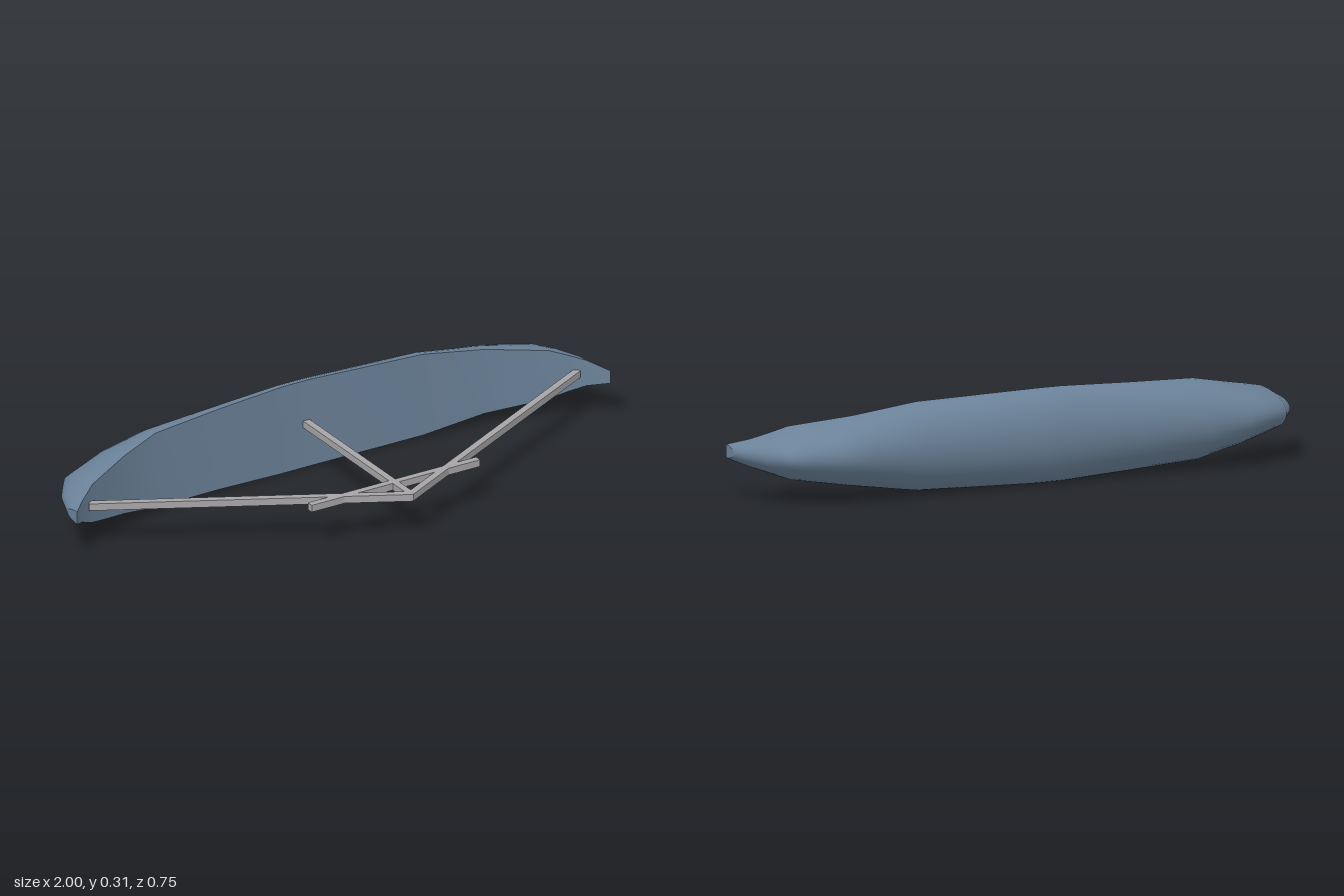
import * as THREE from 'three';

const MID_Y = 0.156;
const ROD = 0.024;

// Stations along the span: x, half height, front z, back z
const STATIONS = [
  [-1, 0.022, -0.07, -0.13],
  [-0.96, 0.038, -0.103, -0.23],
  [-0.9, 0.068, -0.137, -0.315],
  [-0.82, 0.086, -0.168, -0.345],
  [-0.74, 0.103, -0.2, -0.374],
  [-0.6, 0.132, -0.237, -0.374],
  [-0.35, 0.143, -0.26, -0.374],
  [-0.1, 0.154, -0.272, -0.374],
  [0, 0.154, -0.273, -0.374],
  [0.42, 0.144, -0.255, -0.374],
  [0.64, 0.114, -0.234, -0.374],
  [0.74, 0.1, -0.2, -0.374],
  [0.84, 0.086, -0.167, -0.337],
  [0.9, 0.064, -0.142, -0.315],
  [0.95, 0.045, -0.113, -0.235],
  [1, 0.022, -0.047, -0.1],
];

// Half-elliptical section, from the top edge round the back to the bottom edge
function section([x, h, front, back], steps = 20) {
  return Array.from({ length: steps + 1 }, (_, j) => {
    const t = (j / steps) * Math.PI;
    return [x, MID_Y + h * Math.cos(t), front + (back - front) * Math.sin(t)];
  });
}

// Skin stretched over rows of points
function skin(rows) {
  const n = rows[0].length;
  const index = [];
  for (let i = 0; i < rows.length - 1; i++) {
    for (let j = 0; j < n - 1; j++) {
      const a = i * n + j;
      const b = a + n;
      index.push(a, b, a + 1, b, b + 1, a + 1);
    }
  }
  return geometry(rows.flat(), index);
}

// Flat fan closing a wing tip
function cap(points, flip) {
  const index = [];
  for (let j = 1; j < points.length - 1; j++) {
    index.push(0, flip ? j + 1 : j, flip ? j : j + 1);
  }
  return geometry(points, index);
}

function geometry(points, index) {
  const g = new THREE.BufferGeometry();
  g.setAttribute('position', new THREE.Float32BufferAttribute(points.flat(), 3));
  g.setIndex(index);
  g.computeVertexNormals();
  return g;
}

export function createModel() {
  const canopyBlue = new THREE.MeshStandardMaterial({ color: 0x6b8299 });
  canopyBlue.name = 'canopy slate blue';
  const rodGrey = new THREE.MeshStandardMaterial({ color: 0xa6a4a6 });
  rodGrey.name = 'rod grey';

  const model = new THREE.Group();
  const add = (parent, name, geo, mat) => {
    const mesh = new THREE.Mesh(geo, mat);
    mesh.name = name;
    parent.add(mesh);
    return mesh;
  };

  // Canopy: rounded back, straight front face and two closed tips
  const canopy = new THREE.Group();
  canopy.name = 'canopy';
  model.add(canopy);
  const rows = STATIONS.map((s) => section(s));
  add(canopy, 'canopyBack', skin(rows), canopyBlue);
  add(canopy, 'canopyFront', skin(rows.map((r) => [r[r.length - 1], r[0]])), canopyBlue);
  add(canopy, 'rightTip', cap(rows[0], false), canopyBlue);
  add(canopy, 'leftTip', cap(rows[rows.length - 1], true), canopyBlue);

  // Square rods lying in one level plane
  const frame = new THREE.Group();
  frame.name = 'frame';
  model.add(frame);
  const rod = (name, x1, z1, x2, z2) => {
    const length = Math.hypot(x2 - x1, z2 - z1);
    const mesh = add(frame, name, new THREE.BoxGeometry(length, ROD, ROD), rodGrey);
    mesh.position.set((x1 + x2) / 2, MID_Y, (z1 + z2) / 2);
    mesh.rotation.y = -Math.atan2(z2 - z1, x2 - x1);
  };
  rod('rightStrut', -0.92, -0.128, -0.004, 0.361);
  rod('leftStrut', 0.925, -0.128, -0.012, 0.361);
  rod('centreStrut', -0.008, -0.28, -0.008, 0.36);
  rod('controlBar', -0.326, 0.257, 0.31, 0.257);

  return model;
}
